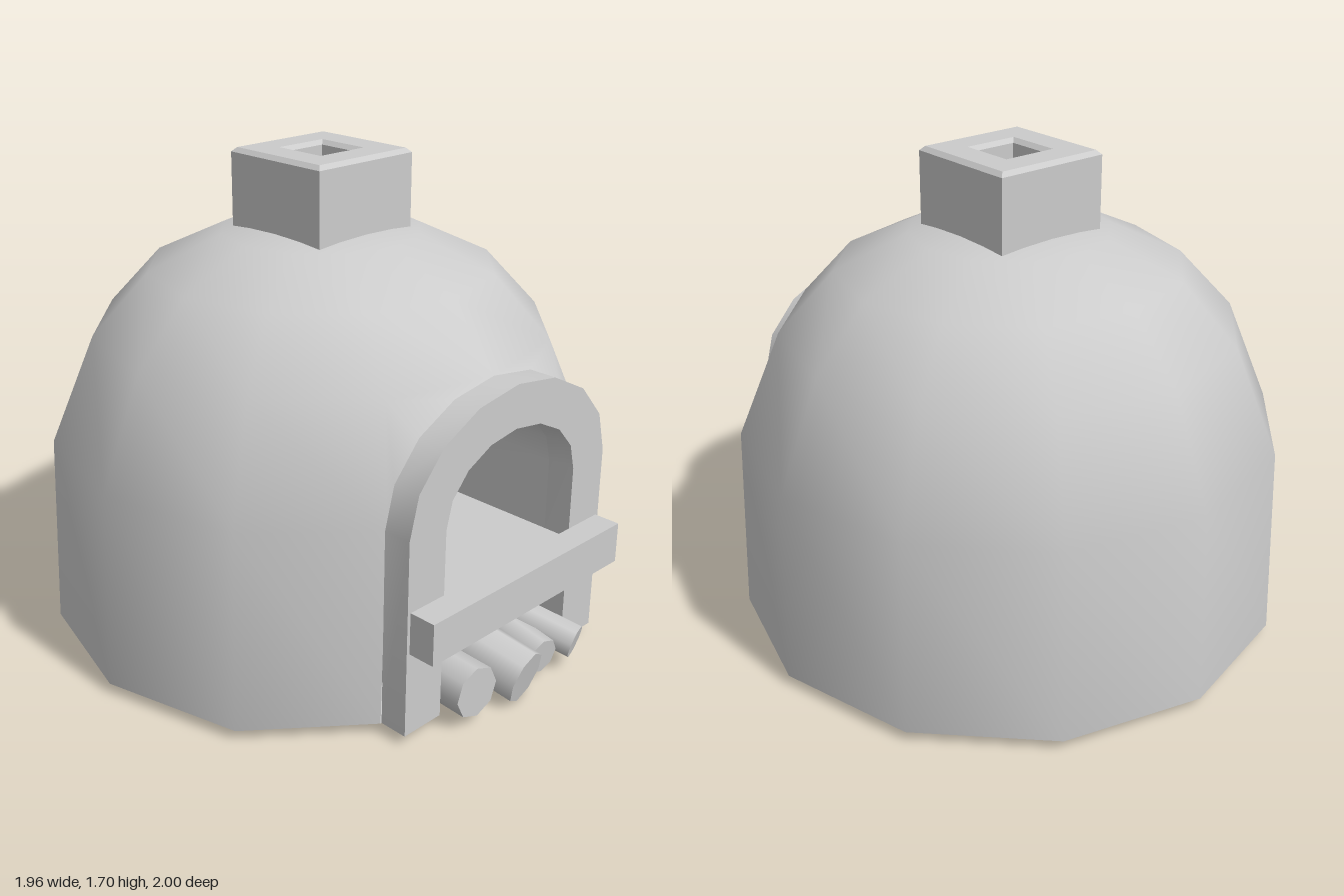
import * as THREE from 'three';
import { toCreasedNormals } from 'three/addons/utils/BufferGeometryUtils.js';

const BASE = 0.045, FRONT = 0.76, SPRING = 0.73, CZ = -0.02;
const grey = new THREE.MeshStandardMaterial({ color: 0xcccccc });
const greyDouble = new THREE.MeshStandardMaterial({ color: 0xcccccc, side: THREE.DoubleSide });

// points of a half-ellipse arch from +x over the top to -x
function arc(rx, ry, y0, n = 8) {
  return Array.from({ length: n + 1 }, (_, k) => {
    const a = (k / n) * Math.PI;
    return new THREE.Vector2(rx * Math.cos(a), y0 + ry * Math.sin(a));
  });
}
const outerArc = arc(0.485, 0.37, SPRING);
const innerArc = arc(0.32, 0.24, 0.71);

function indexed(pos, idx) {
  const g = new THREE.BufferGeometry();
  g.setAttribute('position', new THREE.Float32BufferAttribute(pos, 3));
  g.setIndex(idx);
  g.computeVertexNormals();
  return g;
}

// one dome corner, with the front pressed flat
function domePoint(r, i) {
  const a = (i * Math.PI) / 6;
  return [r * Math.sin(a), Math.min(FRONT, CZ + r * Math.cos(a))];
}

// twelve-sided dome, open where the arch stands
function domeGeometry() {
  const rows = [[0.98, BASE], [0.955, SPRING], [0.8, 1.1], [0.605, 1.31], [0.35, 1.43]];
  const pos = [], idx = [];
  for (const [r, y] of rows)
    for (let i = 0; i < 12; i++) {
      const [x, z] = domePoint(r, i);
      pos.push(x, y, z);
    }
  const at = (j, i) => j * 12 + (i % 12);
  for (let j = 0; j < rows.length - 1; j++)
    for (let i = 0; i < 12; i++) {
      if (j < 2 && (i === 0 || i === 11)) continue;
      idx.push(at(j, i), at(j, i + 1), at(j + 1, i), at(j, i + 1), at(j + 1, i + 1), at(j + 1, i));
    }
  // top cap
  const apex = pos.length / 3;
  pos.push(0, 1.47, CZ);
  for (let i = 0; i < 12; i++) idx.push(at(4, i), at(4, i + 1), apex);
  // fill between the arch and the dome
  const ring = [at(1, 1)];
  for (let k = 1; k < 8; k++) {
    if (k === 4) { ring.push(at(2, 0)); continue; }
    ring.push(pos.length / 3);
    pos.push(outerArc[k].x, outerArc[k].y, FRONT);
  }
  ring.push(at(1, 11));
  for (let k = 0; k < 8; k++) idx.push(ring[k], at(2, k < 4 ? 1 : 11), ring[k + 1]);
  return indexed(pos, idx);
}

// vaulted oven chamber with a rounded back
function chamberGeometry() {
  const floor = 0.45;
  const section = [new THREE.Vector2(0.32, floor), ...innerArc, new THREE.Vector2(-0.32, floor)];
  const rings = [[FRONT, 1, 1], [0.1, 1, 1], [-0.12, 0.85, 0.92], [-0.26, 0.5, 0.75], [-0.3, 0, 0.7]];
  const pos = [], idx = [], n = section.length;
  for (const [z, sx, sy] of rings)
    for (const p of section) pos.push(p.x * sx, floor + (p.y - floor) * sy, z);
  for (let j = 0; j < rings.length - 1; j++)
    for (let k = 0; k < n - 1; k++) {
      const a = j * n + k, b = a + 1, c = a + n, d = c + 1;
      idx.push(a, b, c, b, d, c);
    }
  return indexed(pos, idx);
}

export function createModel() {
  const model = new THREE.Group();
  const add = (name, geo, mat = grey, x = 0, y = 0, z = 0) => {
    const m = new THREE.Mesh(geo, mat);
    m.name = name;
    m.position.set(x, y, z);
    model.add(m);
    return m;
  };

  add('dome', domeGeometry());
  add('ovenChamber', chamberGeometry(), greyDouble);

  // underside with the notch of the wood store
  const base = new THREE.Shape();
  base.moveTo(-0.32, FRONT);
  base.lineTo(-0.32, 0.22);
  base.lineTo(0.32, 0.22);
  base.lineTo(0.32, FRONT);
  for (let i = 1; i < 12; i++) base.lineTo(...domePoint(0.98, i));
  add('underside', new THREE.ShapeGeometry(base).rotateX(Math.PI / 2), greyDouble, 0, BASE);

  // wood store walls
  const h = 0.34 - BASE, midY = BASE + h / 2, depth = FRONT - 0.22;
  add('woodStoreBack', new THREE.PlaneGeometry(0.64, h), greyDouble, 0, midY, 0.22);
  for (const s of [-1, 1])
    add('woodStoreSide', new THREE.PlaneGeometry(depth, h).rotateY(-s * Math.PI / 2), greyDouble,
      s * 0.32, midY, 0.22 + depth / 2);

  // oven floor and front ledge
  add('ovenFloor', new THREE.BoxGeometry(0.64, 0.11, 1.16), grey, 0, 0.395, 0.28);
  add('ledge', new THREE.BoxGeometry(0.945, 0.145, 0.095), grey, 0, 0.4125, 0.9075);

  // arched door surround
  const arch = new THREE.Shape([
    new THREE.Vector2(0.485, BASE), ...outerArc, new THREE.Vector2(-0.485, BASE),
    new THREE.Vector2(-0.32, BASE), ...[...innerArc].reverse(), new THREE.Vector2(0.32, BASE),
  ]);
  const archGeo = new THREE.ExtrudeGeometry(arch, { depth: 0.1, bevelEnabled: false });
  add('doorArch', toCreasedNormals(archGeo, 0.7), grey, 0, 0, FRONT);

  // square chimney with a flue
  const square = (C, r) => new C([[-r, -r], [r, -r], [r, r], [-r, r]].map(p => new THREE.Vector2(...p)));
  const stack = square(THREE.Shape, 0.2);
  stack.holes.push(square(THREE.Path, 0.1));
  const stackGeo = new THREE.ExtrudeGeometry(stack, {
    depth: 0.33, bevelThickness: 0.015, bevelSize: 0.015, bevelSegments: 1,
  }).rotateX(-Math.PI / 2);
  add('chimney', stackGeo, grey, 0, 1.36, CZ);

  // firewood: front end, back end, radius
  const logs = [
    [[-0.235, 0.13, 0.94], [-0.2, 0.13, 0.25], 0.09],
    [[-0.02, 0.1, 0.97], [-0.13, 0.26, 0.3], 0.095],
    [[0.12, 0.1, 0.93], [0.17, 0.18, 0.3], 0.065],
    [[0.26, 0.11, 0.96], [0.05, 0.28, 0.3], 0.06],
  ];
  for (const [a, b, r] of logs) {
    const p = new THREE.Vector3(...a), q = new THREE.Vector3(...b);
    const m = add('log', new THREE.CylinderGeometry(r, r, p.distanceTo(q), 8));
    m.position.copy(p).add(q).multiplyScalar(0.5);
    m.quaternion.setFromUnitVectors(new THREE.Vector3(0, 1, 0), p.sub(q).normalize());
  }
  return model;
}
